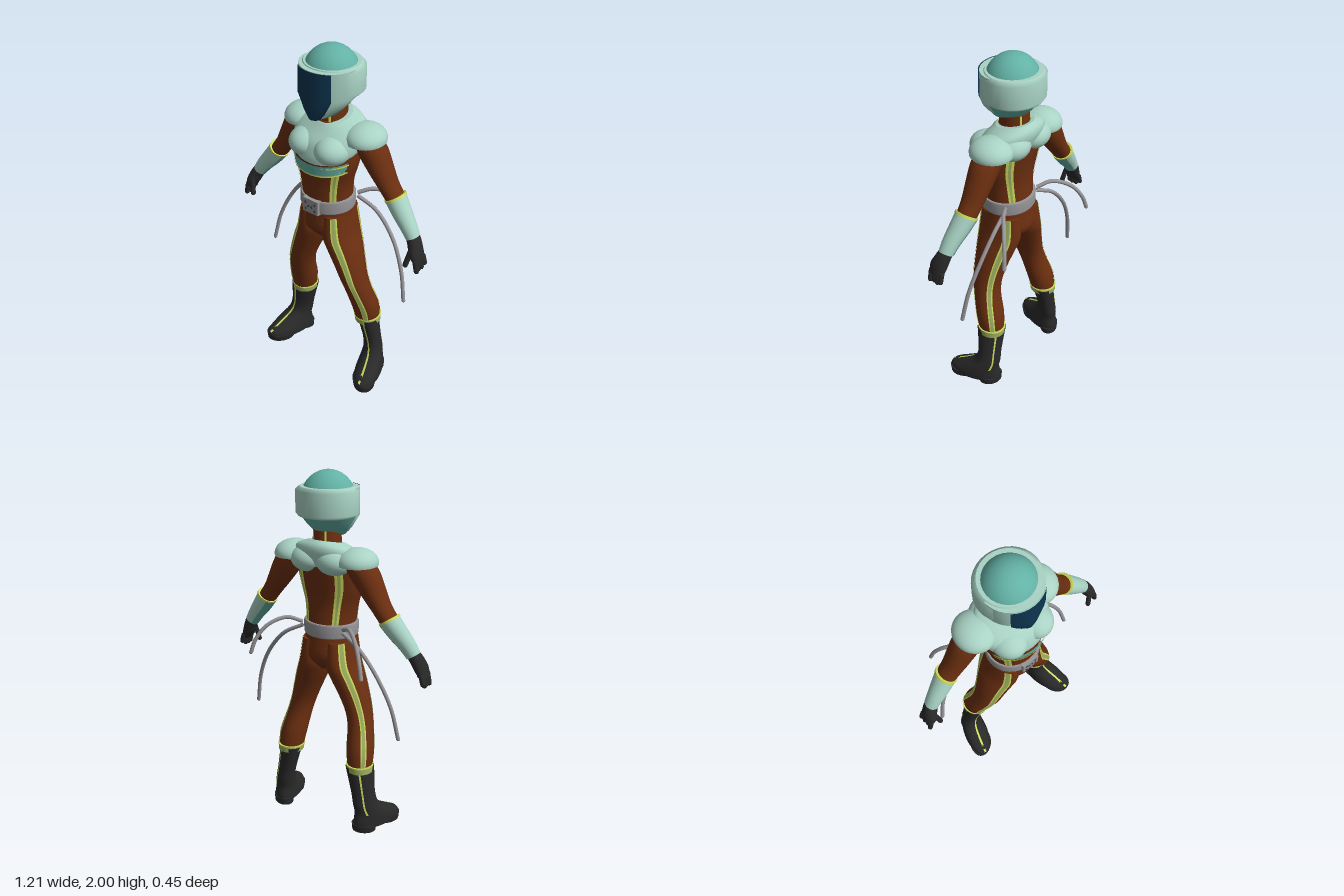
import * as THREE from 'three';

const paint = (name, color) => {
  const m = new THREE.MeshStandardMaterial({ color, side: THREE.DoubleSide });
  m.name = name;
  return m;
};
const brown = paint('suit brown', 0x6c2f10);
const mint = paint('armour mint', 0xa9d3c5);
const teal = paint('armour teal', 0x63b1a5);
const navy = paint('visor navy', 0x0d3550);
const black = paint('boot black', 0x292929);
const grey = paint('belt grey', 0x979598);
const dark = paint('stud grey', 0x48484a);
const lime = paint('piping lime', 0xc9dc5c);
const olive = paint('stripe olive', 0x9fb060);

const spline = (a, b, c, d, t) =>
  0.5 * (2 * b + (c - a) * t + (2 * a - 5 * b + 4 * c - d) * t * t + (3 * b - a - 3 * c + d) * t * t * t);

// Skin over elliptical rings [x, y, z, radiusU, radiusV], listed from low to high.
// t0..t1 (degrees, 90 = front) cuts out a strip; grow lifts it off the surface.
function loft(rows, { u = [1, 0, 0], v = [0, 0, 1], t0 = 0, t1 = 360, grow = 0, steps = 4, cap } = {}) {
  const full = t1 - t0 === 360;
  const n = full ? 32 : Math.max(3, Math.ceil((t1 - t0) / 10));
  const m = full ? n : n + 1;
  const rings = [];
  const last = rows.length - 1;
  for (let i = 0; i < last; i++) {
    for (let s = 0; s < steps; s++) {
      rings.push(rows[i].map((b, k) => spline(
        rows[Math.max(0, i - 1)][k], b, rows[i + 1][k], rows[Math.min(last, i + 2)][k], s / steps)));
    }
  }
  rings.push(rows[last]);
  const pos = [], idx = [];
  const ringPoints = (r) => {
    for (let j = 0; j < m; j++) {
      const t = THREE.MathUtils.degToRad(t0 + (t1 - t0) * j / n);
      const a = (r[3] + grow) * Math.cos(t), b = (r[4] + grow) * Math.sin(t);
      for (let k = 0; k < 3; k++) pos.push(r[k] + u[k] * a + v[k] * b);
    }
  };
  rings.forEach(ringPoints);
  for (let r = 0; r < rings.length - 1; r++) {
    for (let j = 0; j < n; j++) {
      const a = r * m + j, c = r * m + (j + 1) % m;
      idx.push(a, a + m, c, a + m, c + m, c);
    }
  }
  if (cap ?? full) {
    [rings[0], rings[rings.length - 1]].forEach((r, top) => {
      const start = pos.length / 3;
      pos.push(r[0], r[1], r[2]);
      ringPoints(r);
      for (let j = 0; j < n; j++) {
        const a = start + 1 + j, b = start + 1 + (j + 1) % m;
        if (top) idx.push(start, b, a); else idx.push(start, a, b);
      }
    });
  }
  const g = new THREE.BufferGeometry();
  g.setAttribute('position', new THREE.Float32BufferAttribute(pos, 3));
  g.setIndex(idx);
  g.computeVertexNormals();
  return g;
}

const ball = (x, y, z, rx, ry, rz, upper) =>
  new THREE.SphereGeometry(1, 28, 18, 0, Math.PI * 2, 0, upper ? Math.PI * 0.55 : Math.PI)
    .scale(rx, ry, rz).translate(x, y, z);

function capsule(p, q, r) {
  const a = new THREE.Vector3(...p), b = new THREE.Vector3(...q), d = b.clone().sub(a);
  const mid = a.add(b).multiplyScalar(0.5);
  return new THREE.CapsuleGeometry(r, d.length(), 4, 10)
    .applyQuaternion(new THREE.Quaternion().setFromUnitVectors(new THREE.Vector3(0, 1, 0), d.normalize()))
    .translate(mid.x, mid.y, mid.z);
}

function mirrored(geo) {
  const g = geo.clone().scale(-1, 1, 1);
  const ix = g.index.array;
  for (let i = 0; i < ix.length; i += 3) [ix[i], ix[i + 1]] = [ix[i + 1], ix[i]];
  return g;
}

export function createModel() {
  const model = new THREE.Group();
  model.name = 'armouredFigure';
  const add = (name, geo, mat) => {
    const mesh = new THREE.Mesh(geo, mat);
    mesh.name = name;
    model.add(mesh);
  };
  const pair = (name, geo, mat) => {
    add(name + 'Left', geo, mat);
    add(name + 'Right', mirrored(geo), mat);
  };
  // Olive stripe with lime piping on both edges
  const stripe = (name, rows, at, half, opts = {}) => {
    pair(name, loft(rows, { ...opts, t0: at - half, t1: at + half, grow: 0.003 }), olive);
    for (const e of [-half, half]) {
      pair(name + 'Piping', loft(rows, { ...opts, t0: at + e - 2.5, t1: at + e + 2.5, grow: 0.004 }), lime);
    }
  };

  // Torso and neck
  const torso = [
    [0, 0.93, 0.05, 0.05, 0.08], [0, 1.0, 0.05, 0.145, 0.135], [0, 1.1, 0.052, 0.143, 0.132],
    [0, 1.2, 0.06, 0.14, 0.128], [0, 1.3, 0.065, 0.153, 0.127], [0, 1.4, 0.065, 0.182, 0.138],
    [0, 1.5, 0.05, 0.19, 0.14], [0, 1.58, 0.025, 0.16, 0.11], [0, 1.62, 0.015, 0.08, 0.085]];
  add('torso', loft(torso), brown);
  stripe('torsoFrontStripe', torso.slice(3, 6), 43, 5);
  stripe('torsoBackStripe', torso.slice(3, 7), -52, 5);
  const neck = [[0, 1.58, 0.015, 0.077, 0.085], [0, 1.7, 0.015, 0.07, 0.08]];
  add('neck', loft(neck), brown);
  for (const a of [60, -60]) {
    pair('neckPiping', loft(neck, { t0: a - 4, t1: a + 4, grow: 0.003 }), lime);
  }

  // Legs
  const leg = [
    [0.235, 0.38, -0.008, 0.068, 0.073], [0.226, 0.48, 0.008, 0.077, 0.08], [0.205, 0.6, 0.043, 0.07, 0.08],
    [0.182, 0.69, 0.06, 0.07, 0.087], [0.148, 0.79, 0.06, 0.079, 0.1], [0.113, 0.88, 0.055, 0.086, 0.117],
    [0.083, 0.97, 0.05, 0.083, 0.132], [0.075, 1.1, 0.05, 0.066, 0.122]];
  pair('leg', loft(leg), brown);
  stripe('legFrontStripe', leg, 58, 9);
  stripe('legBackStripe', leg, -45, 9);

  // Boots, with toes turned out
  const turned = { v: [0.25, 0, 1] };
  const boot = [
    [0.305, 0.025, 0.065, 0.078, 0.15], [0.305, 0.06, 0.062, 0.078, 0.147], [0.295, 0.11, 0.025, 0.07, 0.1],
    [0.28, 0.16, -0.01, 0.061, 0.07], [0.265, 0.23, -0.017, 0.06, 0.06], [0.246, 0.33, -0.012, 0.066, 0.068],
    [0.235, 0.39, -0.008, 0.07, 0.074]];
  pair('boot', loft(boot, turned), black);
  pair('bootHeel', loft([[0.282, 0, -0.03, 0.062, 0.055], [0.282, 0.04, -0.03, 0.066, 0.058]], turned), black);
  pair('bootSole', loft([[0.325, 0, 0.135, 0.068, 0.078], [0.323, 0.04, 0.133, 0.074, 0.084]], turned), black);
  pair('bootFrontPiping', loft(boot.slice(1), { ...turned, t0: 84, t1: 94, grow: 0.003 }), lime);
  pair('bootBackPiping', loft(boot.slice(2), { ...turned, t0: -56, t1: -48, grow: 0.003 }), lime);
  pair('bootCuff', loft([[0.237, 0.365, -0.009, 0.073, 0.077], [0.234, 0.4, -0.008, 0.075, 0.079]]), olive);
  pair('bootCuffPiping', loft([[0.234, 0.398, -0.008, 0.077, 0.081], [0.234, 0.405, -0.008, 0.077, 0.081]]), lime);

  // Arms, gauntlets and hands
  const slanted = { u: [0.83, 0.55, 0] };
  pair('upperArm', loft([
    [0.39, 1.27, 0, 0.048, 0.054], [0.345, 1.33, 0, 0.05, 0.06], [0.3, 1.4, 0, 0.062, 0.068],
    [0.25, 1.48, 0, 0.074, 0.075], [0.2, 1.54, 0, 0.07, 0.075]], slanted), brown);
  const gauntlet = [
    [0.525, 1.1, 0.025, 0.037, 0.04], [0.49, 1.15, 0.02, 0.043, 0.046],
    [0.44, 1.21, 0.01, 0.051, 0.054], [0.392, 1.272, 0, 0.055, 0.06]];
  pair('gauntlet', loft(gauntlet, slanted), mint);
  pair('gauntletInner', loft(gauntlet, { ...slanted, t0: 150, t1: 235, grow: 0.003 }), teal);
  pair('gauntletTrim', loft([[0.394, 1.27, 0, 0.058, 0.063], [0.387, 1.28, 0, 0.058, 0.063]], slanted), lime);
  pair('palm', loft([
    [0.585, 0.985, 0.045, 0.02, 0.042], [0.562, 1.03, 0.045, 0.033, 0.05],
    [0.538, 1.08, 0.032, 0.036, 0.042], [0.518, 1.11, 0.025, 0.034, 0.037]], slanted), black);
  for (let i = 0; i < 4; i++) {
    const z = 0.008 + i * 0.024;
    pair('finger', capsule([0.58, 1.0, z], [0.592 - (i % 3) * 0.003, 0.945 + (i === 0 ? 0.015 : 0), z], 0.014), black);
  }
  pair('thumb', capsule([0.545, 1.045, 0.075], [0.53, 0.965, 0.092], 0.014), black);

  // Chest armour: plate, pectorals, back lobes and shoulder pads
  const tilted = { v: [0, -0.22, 1] };
  add('chestPlate', loft([
    [0, 1.46, 0.065, 0.175, 0.145], [0, 1.5, 0.055, 0.195, 0.152], [0, 1.56, 0.035, 0.198, 0.15],
    [0, 1.605, 0.015, 0.17, 0.125], [0, 1.635, 0.012, 0.1, 0.098]], tilted), mint);
  pair('pectoral', ball(0.082, 1.492, 0.115, 0.095, 0.078, 0.108), mint);
  pair('backLobe', ball(0.08, 1.545, -0.04, 0.1, 0.072, 0.088), mint);
  pair('shoulderPad', ball(0.195, 1.55, 0, 0.108, 0.075, 0.115, true), mint);
  pair('shoulderPadUnderside', ball(0.2, 1.548, 0, 0.098, 0.015, 0.107), mint);
  const rib = [[0, 1.4, 0.068, 0.172, 0.143], [0, 1.46, 0.068, 0.185, 0.148]];
  add('ribPlate', loft(rib, { ...tilted, t0: 20, t1: 160, grow: 0.003 }), teal);
  for (const y of [1.4, 1.447]) {
    const w = 0.172 + (y - 1.4) * 0.2;
    add('ribTrim', loft([[0, y - 0.005, 0.068, w, 0.143], [0, y + 0.004, 0.068, w, 0.143]],
      { ...tilted, t0: 18, t1: 162, grow: 0.006 }), lime);
  }

  // Belt, buckle and trailing cables
  add('belt', loft([
    [0, 1.122, 0.058, 0.148, 0.136], [0, 1.13, 0.058, 0.153, 0.141],
    [0, 1.19, 0.058, 0.153, 0.141], [0, 1.198, 0.058, 0.148, 0.136]], { steps: 1 }), grey);
  add('buckle', new THREE.BoxGeometry(0.1, 0.084, 0.03).translate(0, 1.16, 0.192), grey);
  for (const [x, y] of [[0.03, 1.18], [0.03, 1.14], [0.01, 1.16]]) {
    pair('buckleStud', new THREE.BoxGeometry(0.01, 0.014, 0.005).translate(x, y, 0.208), dark);
  }
  const cables = [
    [[0.13, 1.18, -0.03], [0.2, 1.205, -0.08], [0.28, 1.165, -0.15], [0.33, 1.085, -0.195], [0.352, 1.01, -0.212]],
    [[0.13, 1.16, -0.03], [0.24, 1.1, -0.05], [0.35, 0.97, -0.05], [0.43, 0.8, -0.03], [0.47, 0.62, -0.01]]];
  for (const points of cables) {
    const curve = new THREE.CatmullRomCurve3(points.map((p) => new THREE.Vector3(...p)));
    pair('cable', new THREE.TubeGeometry(curve, 32, 0.011, 10), grey);
    pair('cableTip', ball(...points[4], 0.011, 0.011, 0.011), grey);
  }

  // Helmet: dome, lower shell, side band, face frame and visor
  add('helmetDome', ball(0, 1.84, 0.025, 0.148, 0.16, 0.145), teal);
  add('helmetShell', loft([
    [0, 1.665, 0.07, 0.065, 0.085], [0, 1.72, 0.045, 0.112, 0.125], [0, 1.79, 0.018, 0.155, 0.15]]), teal);
  add('helmetBand', loft([
    [0, 1.77, 0.015, 0.153, 0.145], [0, 1.785, 0.015, 0.168, 0.155],
    [0, 1.9, 0.015, 0.168, 0.155], [0, 1.92, 0.018, 0.145, 0.142]], { steps: 1 }), mint);
  const face = [
    [0, 1.66, 0.075, 0.05, 0.108], [0, 1.7, 0.06, 0.098, 0.13],
    [0, 1.77, 0.04, 0.155, 0.152], [0, 1.915, 0.04, 0.155, 0.148]];
  add('faceFrame', loft(face, { t0: 0, t1: 180, cap: true, steps: 1 }), mint);
  add('visor', loft(face, { t0: 50, t1: 130, grow: 0.006, steps: 1 }), navy);

  return model;
}
